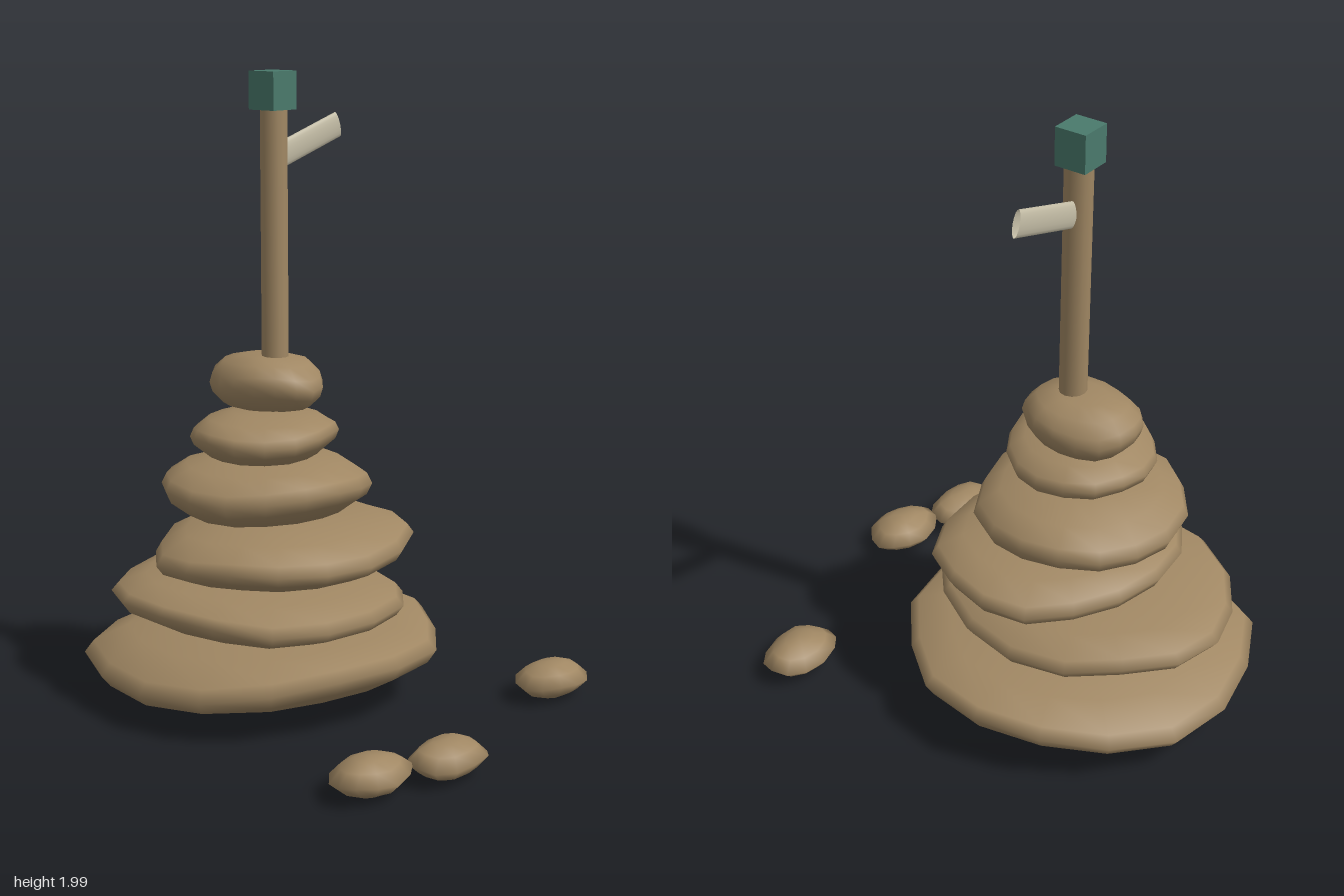
import * as THREE from 'three';
import { mergeVertices } from 'three/addons/utils/BufferGeometryUtils.js';

const mat = (name, color) => {
  const m = new THREE.MeshStandardMaterial({ color });
  m.name = name;
  return m;
};

// Half profiles from rim to crown: [radius, height], both in 0..1
const SLAB = [[1, 0], [0.95, 0.34], [0.76, 0.74], [0.42, 0.95], [0, 1]];
const LENS = [[1, 0], [0.72, 0.58], [0.38, 0.93], [0, 1]];

// Irregular flattened stone filling the given ranges; rim is the height of its widest line
function stone({ x, y, z, rim, tilt = [0, 0], skew = 0, seed = 0, half = SLAB, sides = 16 }) {
  const lower = half.slice(1).reverse().map(([r, h]) => new THREE.Vector2(r, -h));
  const upper = half.map(([r, h]) => new THREE.Vector2(r, h));
  let g = new THREE.LatheGeometry([...lower, ...upper], sides);
  g.deleteAttribute('uv');
  g.deleteAttribute('normal');
  g = mergeVertices(g, 1e-4);
  const cx = (x[0] + x[1]) / 2, rx = (x[1] - x[0]) / 2;
  const cz = (z[0] + z[1]) / 2, rz = (z[1] - z[0]) / 2;
  const p = g.attributes.position;
  for (let i = 0; i < p.count; i++) {
    const u = p.getX(i), v = p.getZ(i), h = p.getY(i);
    const t = Math.atan2(v, u), r = Math.hypot(u, v), s = Math.sin(2 * t);
    // uneven outline that keeps the four extreme points in place
    const w = 1 + skew * s + 0.035 * s * s * Math.sin(5 * t + seed);
    const bump = 0.12 * r * Math.sin(3 * t + seed * 2) * (y[1] - y[0]) / 2;
    const py = rim + (h > 0 ? h * (y[1] - rim) : h * (rim - y[0]));
    const lean = r * r * (tilt[0] * u + tilt[1] * v);
    p.setXYZ(i, cx + u * w * rx, py + lean + bump * (1 - h * h), cz + v * w * rz);
  }
  g.computeVertexNormals();
  return g;
}

export function createModel() {
  const model = new THREE.Group();
  const rock = mat('sandy stone', 0xa08763);
  const cloth = mat('pale cloth', 0xc4bda6);
  const green = mat('green paint', 0x4a7a6c);
  cloth.side = THREE.DoubleSide;

  const add = (name, geometry, material) => {
    const mesh = new THREE.Mesh(geometry, material);
    mesh.name = name;
    model.add(mesh);
    return mesh;
  };

  // Stacked stones, bottom to top
  [
    { x: [-0.61, 0.54], y: [0.035, 0.26], z: [-0.80, 0.33], rim: 0.155, tilt: [0.025, 0.03], skew: 0.01, seed: 1 },
    { x: [-0.52, 0.36], y: [0.24, 0.42], z: [-0.735, 0.27], rim: 0.335, tilt: [-0.008, 0], skew: 0, seed: 2.2 },
    { x: [-0.48, 0.40], y: [0.41, 0.60], z: [-0.535, 0.22], rim: 0.505, tilt: [0.01, 0], skew: 0.02, seed: 3.1 },
    { x: [-0.39, 0.295], y: [0.58, 0.79], z: [-0.56, 0.10], rim: 0.69, tilt: [-0.005, 0.01], skew: 0.01, seed: 4.5 },
    { x: [-0.33, 0.175], y: [0.78, 0.94], z: [-0.445, 0.04], rim: 0.865, tilt: [0, 0.008], skew: -0.04, seed: 5.2 },
    { x: [-0.18, 0.14], y: [0.925, 1.11], z: [-0.44, -0.04], rim: 1.02, tilt: [0, 0], skew: 0, seed: 6.4 },
  ].forEach((s, i) => add(`stackStone${i + 1}`, stone(s), rock));

  // Loose pebbles on the ground
  [[-0.50, 0.605], [-0.253, 0.69], [0.493, 0.53]].forEach(([cx, cz], i) =>
    add(`pebble${i + 1}`, stone({
      x: [cx - 0.143, cx + 0.143], y: [0.007, 0.122], z: [cz - 0.105, cz + 0.105],
      rim: 0.065, seed: i * 2, half: LENS, sides: 12,
    }), rock));

  // Slightly leaning pole
  const base = new THREE.Vector3(-0.021, 1.05, -0.204);
  const top = new THREE.Vector3(0.004, 1.9, -0.229);
  const dir = top.clone().sub(base);
  const pole = add('pole', new THREE.CylinderGeometry(0.044, 0.044, dir.length(), 12), rock);
  pole.position.copy(base).add(top).multiplyScalar(0.5);
  pole.quaternion.setFromUnitVectors(new THREE.Vector3(0, 1, 0), dir.normalize());

  // Square cap
  add('poleCap', new THREE.BoxGeometry(0.105, 0.12, 0.105), green).position.set(0.002, 1.94, -0.231);

  // Flattened open cloth sleeve
  const sleeve = new THREE.CylinderGeometry(0.042, 0.042, 0.29, 16, 1, true);
  sleeve.rotateZ(-Math.PI / 2);
  sleeve.scale(1, 1, 0.28);
  sleeve.rotateZ(0.295);
  add('clothSleeve', sleeve, cloth).position.set(0.174, 1.776, -0.234);

  return model;
}
